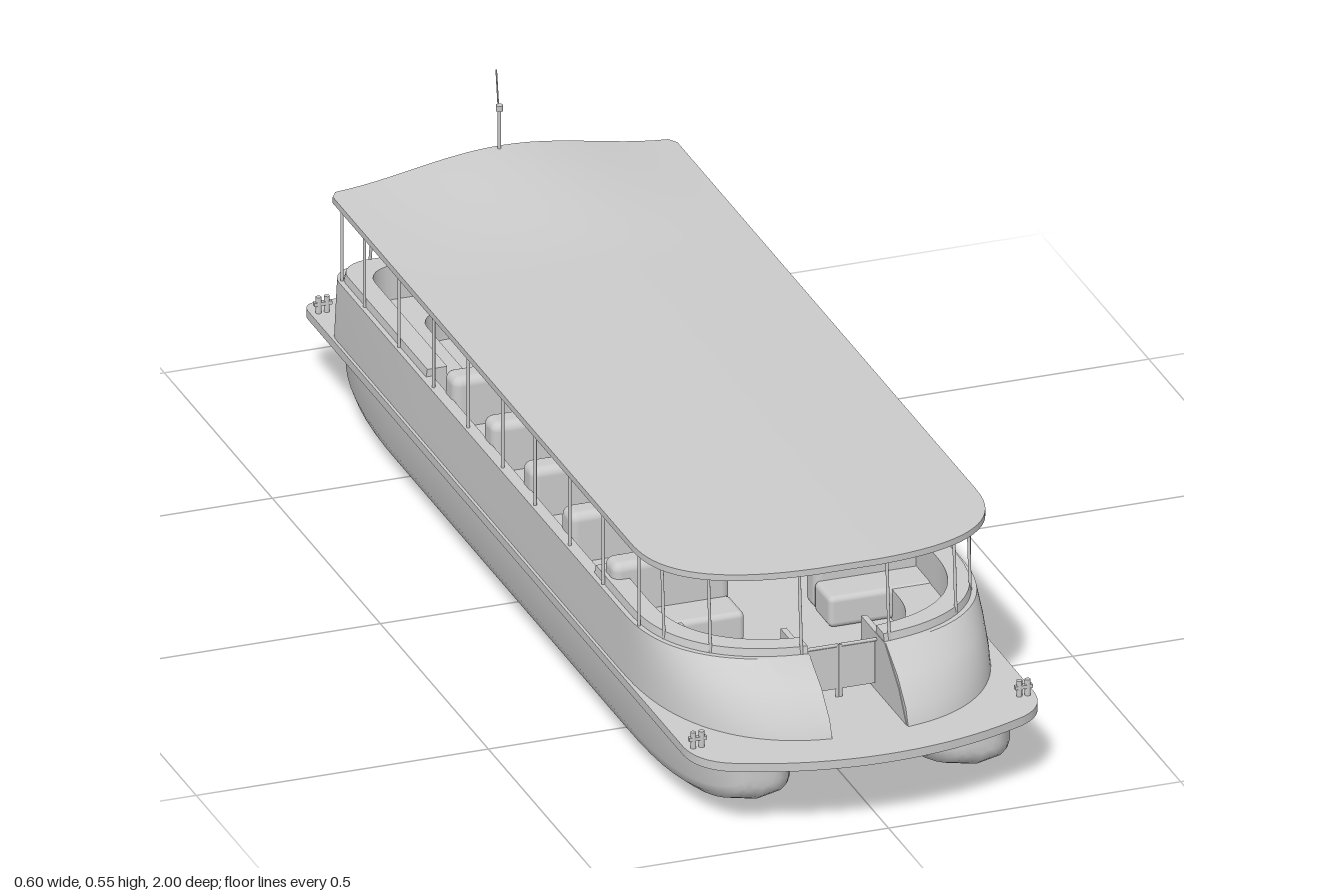
import * as THREE from 'three';
import { toCreasedNormals } from 'three/addons/utils/BufferGeometryUtils.js';
import { RoundedBoxGeometry } from 'three/addons/geometries/RoundedBoxGeometry.js';

const grey = new THREE.MeshStandardMaterial({ color: 0xcccccc, side: THREE.DoubleSide });
const V = (x, y, z) => new THREE.Vector3(x, y, z);

// Closed solid through equal-length loops of points, capped at both ends
function loft(loops, crease = 0.6) {
  const tris = [], n = loops[0].length;
  for (let i = 0; i < loops.length - 1; i++) {
    for (let j = 0; j < n; j++) {
      const k = (j + 1) % n, a = loops[i], b = loops[i + 1];
      tris.push([a[j], b[j], b[k]], [a[j], b[k], a[k]]);
    }
  }
  for (const [loop, first] of [[loops[0], true], [loops.at(-1), false]]) {
    const c = loop.reduce((s, p) => s.add(p), V(0, 0, 0)).divideScalar(n);
    for (let j = 0; j < n; j++) {
      const p = loop[j], q = loop[(j + 1) % n];
      tris.push(first ? [c, p, q] : [c, q, p]);
    }
  }
  // Turn the faces outward whichever way the loops run
  const volume = tris.reduce((s, [a, b, c]) => s + a.dot(b.clone().cross(c)), 0);
  if (volume < 0) tris.forEach(t => t.reverse());
  const g = new THREE.BufferGeometry().setFromPoints(tris.flat());
  return toCreasedNormals(g, crease);
}

// Front curve of the cabin: t = 0 at the deck, 1 at the top of the bulwark
const CURVE = 2.5;
const halfWidth = (t, inset) => 0.295 - 0.005 * t - inset;
const frontLength = (t, inset) => 0.37 - 0.03 * t - 0.075 * t * t - inset;
function frontZ(x, t, inset = 0) {
  const r = Math.min(1, x / halfWidth(t, inset));
  return 0.55 + frontLength(t, inset) * Math.pow(1 - Math.pow(r, CURVE), 1 / CURVE);
}

// Plan of one cabin side from the bow opening round to the stern opening
function plan(t, inset) {
  const a = halfWidth(t, inset), pts = [];
  const start = Math.asin(Math.pow(0.065 / a, CURVE / 2));
  for (let i = 0; i <= 24; i++) {
    const th = start + (Math.PI / 2 - start) * i / 24;
    pts.push([a * Math.pow(Math.sin(th), 2 / CURVE),
      0.55 + frontLength(t, inset) * Math.pow(Math.max(0, Math.cos(th)), 2 / CURVE)]);
  }
  pts.push([a, 0.4], [a, -0.38]);
  const r = 0.05, back = -0.81 + inset;
  for (let i = 0; i <= 6; i++) {
    const th = Math.PI / 2 * i / 6;
    pts.push([a - r + r * Math.cos(th), back + r - r * Math.sin(th)]);
  }
  pts.push([0.065, back]);
  return pts;
}

// Sweep a profile of [t, inset, y] along the plan, optionally over part of it
function sweep(profile, s, from = 0, to = undefined) {
  const rails = profile.map(([t, inset, y]) => plan(t, inset).slice(from, to).map(([x, z]) => V(s * x, y, z)));
  return loft(rails[0].map((_, i) => rails.map(r => r[i])));
}

function pontoon(s) {
  const half = [[1, 0.118], [1, 0.045], [0.93, 0.027], [0.75, 0.013], [0.4, 0.007]];
  const section = [...half, [0, 0], ...half.map(([x, y]) => [-x, y]).reverse()];
  const loops = [];
  for (let i = 0; i <= 40; i++) {
    const z = 0.025 - 0.9 * Math.cos(Math.PI * i / 40);
    const u = Math.max(0, (Math.abs(z - 0.025) - 0.52) / 0.38);
    const w = 0.103 * (0.2 + 0.8 * Math.sqrt(Math.max(0, 1 - u ** 2.6)));
    const d = 0.42 + 0.58 * Math.sqrt(Math.max(0, 1 - u ** 3));
    loops.push(section.map(([x, y]) => V(s * 0.188 + x * w, 0.118 - (0.118 - y) * d, z)));
  }
  return loft(loops, 0.7);
}

function roof() {
  const loops = [], n = 24;
  const zs = [-0.79, -0.775];
  for (let i = 1; i <= 16; i++) zs.push(-0.775 + 0.41 * i / 16);
  for (let i = 0; i <= 20; i++) zs.push(0.6 + 0.209 * Math.sin(Math.PI / 2 * i / 20));
  for (const z of zs) {
    const u = Math.max(0, (z - 0.6) / 0.21);
    const w = (z < -0.78 ? 0.285 : 0.295) * Math.pow(1 - u ** 2.5, 1 / 2.5);
    const lift = THREE.MathUtils.smoothstep(-z, 0.38, 0.86);
    const top = [], under = [];
    for (let j = 0; j <= n; j++) {
      const x = w * (2 * j / n - 1), r = x / 0.297;
      const y = 0.379 + 0.006 * (1 - r * r) + 0.033 * lift * (0.5 + 0.5 * Math.cos(Math.PI * r));
      top.push(V(x, y, z));
      under.unshift(V(x, y - 0.011, z));
    }
    loops.push([...top, ...under]);
  }
  return loft(loops);
}

// Side outline in [z, y], extruded across x
function slab(points, x, width) {
  const shape = new THREE.Shape(points.map(([z, y]) => new THREE.Vector2(-z, y)));
  const g = new THREE.ExtrudeGeometry(shape, { depth: width, bevelEnabled: false });
  return g.translate(0, 0, -width / 2).rotateY(Math.PI / 2).translate(x, 0, 0);
}

export function createModel() {
  const model = new THREE.Group();
  const add = (name, geometry) => {
    const m = new THREE.Mesh(geometry, grey);
    m.name = name;
    model.add(m);
    return m;
  };
  const box = (name, w, h, d, x, y, z) => add(name, new THREE.BoxGeometry(w, h, d).translate(x, y, z));
  const rod = (name, a, b, r) => {
    const m = add(name, new THREE.CylinderGeometry(r, r, a.distanceTo(b), 8));
    m.position.copy(a).lerp(b, 0.5);
    m.quaternion.setFromUnitVectors(V(0, 1, 0), b.clone().sub(a).normalize());
  };

  // Deck with a bowed front and rounded corners
  const d = new THREE.Shape();
  d.moveTo(-0.27, 0.905).lineTo(0.27, 0.905).quadraticCurveTo(0.3, 0.905, 0.3, 0.875);
  d.lineTo(0.3, -0.86).quadraticCurveTo(0.298, -0.92, 0.25, -0.945).quadraticCurveTo(0.13, -1, 0, -1);
  d.quadraticCurveTo(-0.13, -1, -0.25, -0.945).quadraticCurveTo(-0.298, -0.92, -0.3, -0.86);
  d.lineTo(-0.3, 0.875).quadraticCurveTo(-0.3, 0.905, -0.27, 0.905);
  add('deck', new THREE.ExtrudeGeometry(d, { depth: 0.015, bevelEnabled: false, curveSegments: 16 })
    .rotateX(-Math.PI / 2).translate(0, 0.117, 0));

  add('roof', roof());
  add('centreFin', slab([[0.9, 0.118], [0.89, 0.066], [0.8, 0.066], [-0.25, 0.118]], 0, 0.01));

  for (const s of [1, -1]) {
    add('pontoon', pontoon(s));
    // Bulwark leaning back at the bow, with benches and padded rim inside
    add('bulwark', sweep([[0, 0, 0.13], [0.25, 0, 0.16], [0.65, 0, 0.2], [1, 0, 0.233],
      [1, 0.02, 0.233], [1, 0.02, 0.13]], s));
    for (const [from, to] of [[0, 26], [26, undefined]]) {
      add('benchRim', sweep([[1, 0.008, 0.23], [1, 0.011, 0.246], [1, 0.045, 0.246], [1, 0.045, 0.18]], s, from, to));
      add('bench', sweep([[1, 0.02, 0.132], [1, 0.02, 0.185], [1, 0.11, 0.185], [1, 0.11, 0.132]], s, from, to));
    }
    add('bowCheek', slab([[0.91, 0.132], [0.875, 0.18], [0.81, 0.233], [0.7, 0.233], [0.7, 0.132]], s * 0.069, 0.01));

    // Rows of seats
    for (const z of [0.44, 0.24, 0.06, -0.12, -0.3]) {
      add('seatBack', new RoundedBoxGeometry(0.2, 0.14, 0.05, 3, 0.015).translate(s * 0.172, 0.202, z));
      add('seatCushion', new RoundedBoxGeometry(0.2, 0.055, 0.075, 2, 0.01).translate(s * 0.172, 0.16, z + 0.055));
    }

    // Roof posts along the side, round the bow and at the stern
    for (const z of [0.61, 0.445, 0.29, 0.13, -0.02, -0.18, -0.34, -0.5, -0.66, -0.765]) {
      const x = Math.min(0.283, halfWidth(1, 0.006));
      rod('sidePost', V(s * x, 0.225, z), V(s * x, 0.375, z), 0.0027);
    }
    for (const x of [0.075, 0.21, 0.262]) {
      const z = frontZ(x, 1, 0.01);
      rod('bowPost', V(s * x, 0.225, z), V(s * x, 0.377, z - 0.012), 0.0027);
    }
    rod('sternPost', V(s * 0.222, 0.225, -0.803), V(s * 0.222, 0.38, -0.775), 0.0027);
    rod('sternPost', V(s * 0.075, 0.225, -0.803), V(s * 0.075, 0.4, -0.775), 0.0027);

    // Mooring bollards: two pins with a crossbar
    for (const z of [0.87, -0.865]) {
      for (const dx of [-0.007, 0.007]) {
        rod('bollard', V(s * 0.279 + dx, 0.13, z), V(s * 0.279 + dx, 0.16, z), 0.005);
      }
      box('bollardBar', 0.03, 0.006, 0.008, s * 0.279, 0.148, z);
    }

    // Gates at bow and stern
    for (const z of [0.77, -0.8]) {
      box('gate', 0.058, 0.074, 0.006, s * 0.032, 0.184, z);
      rod('gatePost', V(s * 0.003, 0.132, z), V(s * 0.003, 0.225, z), 0.003);
      rod('gateRail', V(s * 0.003, 0.223, z), V(s * 0.064, 0.223, z), 0.003);
    }

    // Side cheek of the stern ramp
    add('rampCheek', slab([[-0.84, 0.118], [-0.9, 0.118], [-1, 0.07], [-1, 0.047], [-0.84, 0.047]], s * 0.057, 0.016));
  }
  add('sternRamp', slab([[-0.84, 0.112], [-0.885, 0.112], [-0.998, 0.058], [-0.998, 0.05], [-0.84, 0.05]], 0, 0.1));

  // Mast, lamp and whip aerial
  rod('mast', V(-0.007, 0.4, -0.782), V(-0.007, 0.485, -0.782), 0.003);
  rod('mastLamp', V(-0.007, 0.482, -0.782), V(-0.007, 0.492, -0.782), 0.006);
  rod('aerial', V(-0.007, 0.485, -0.787), V(-0.007, 0.548, -0.797), 0.0014);
  return model;
}
